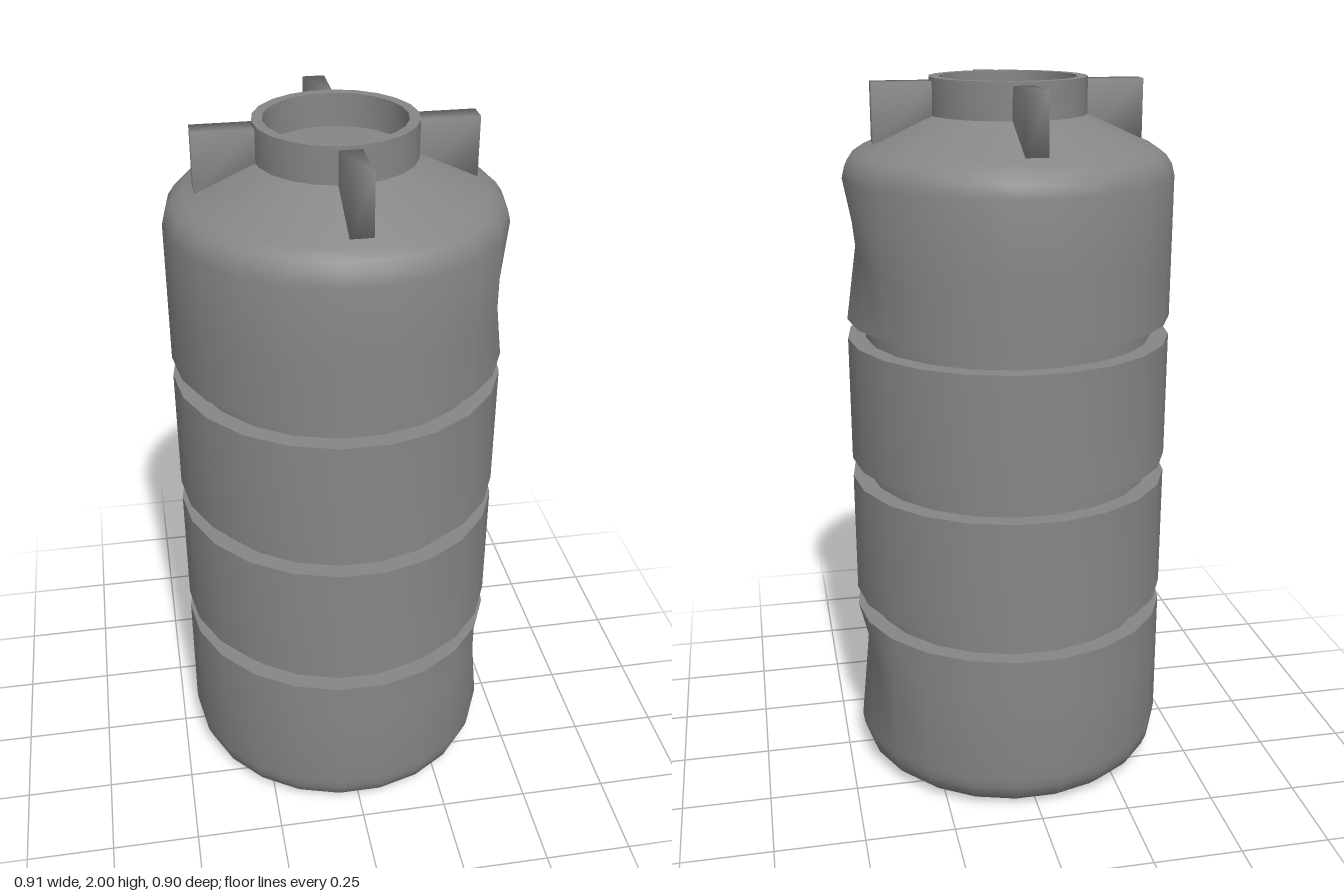
import * as THREE from 'three';
import { mergeVertices, toCreasedNormals } from 'three/addons/utils/BufferGeometryUtils.js';

const SIDES = 22;
const R = 0.455;       // outer wall
const GROOVE = 0.405;  // groove floor
const material = new THREE.MeshStandardMaterial({ color: 0x868686 });

function part(name, geometry) {
  const mesh = new THREE.Mesh(geometry, material);
  mesh.name = name;
  return mesh;
}

// Revolved shape with a corner on the x axis; sharp edges stay sharp
function lathe(profile, reshape) {
  const points = profile.map(([r, y]) => new THREE.Vector2(r, y));
  const geometry = new THREE.LatheGeometry(points, SIDES);
  geometry.rotateY(Math.PI / 2);
  if (reshape) reshape(geometry.attributes.position);
  return toCreasedNormals(geometry, 0.62);
}

// Shallow dents in the left wall of the top and bottom sections
const DENT_ROWS = [0.335, 1.53];
function dent(position) {
  for (let i = 0; i < position.count; i++) {
    const y = position.getY(i);
    if (DENT_ROWS.some((row) => Math.abs(row - y) < 0.001)) {
      position.setX(i, Math.min(position.getX(i), 0.415));
    }
  }
}

// Box whose shading runs softly around its corners
function softBox(width, height, depth) {
  const box = new THREE.BoxGeometry(width, height, depth);
  box.deleteAttribute('normal');
  box.deleteAttribute('uv');
  const geometry = mergeVertices(box);
  geometry.computeVertexNormals();
  return geometry;
}

export function createModel() {
  const model = new THREE.Group();
  model.name = 'waterTank';

  // Body: rounded base, three grooves, rounded sloping shoulder
  const body = [[0, 0], [0.375, 0], [0.41, 0.01], [0.437, 0.035], [0.45, 0.068], [R, 0.1], [R, 0.335]];
  for (const [low, high] of [[0.475, 0.53], [0.885, 0.94], [1.295, 1.35]]) {
    body.push([R, low], [GROOVE, low], [GROOVE, high], [R, high]);
  }
  body.push([R, 1.53], [R, 1.74], [0.447, 1.772], [0.43, 1.797], [0.4, 1.817], [0.2, 1.908]);
  model.add(part('body', lathe(body, dent)));

  // Open neck with a recessed lid
  model.add(part('neck', lathe([
    [0.215, 1.89], [0.215, 2], [0.187, 2], [0.187, 1.91], [0, 1.91],
  ])));

  // Four upright fins around the neck
  for (let i = 0; i < 4; i++) {
    const geometry = softBox(0.165, 0.165, 0.06);
    geometry.translate(0.2875, 1.9075, 0);
    geometry.rotateY((i * Math.PI) / 2);
    model.add(part('fin' + (i + 1), geometry));
  }

  return model;
}
